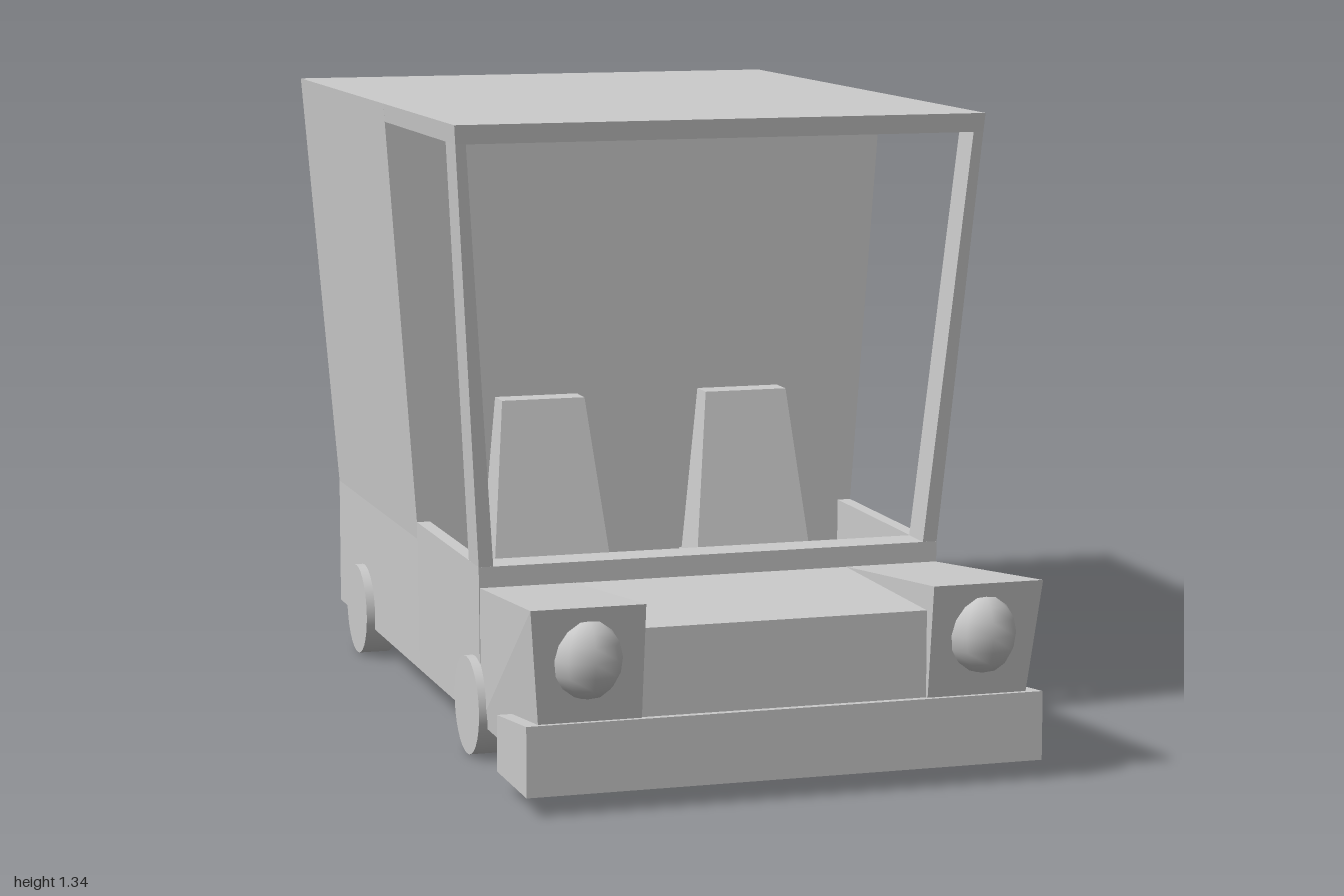
import * as THREE from 'three';

export function createModel() {
  const model = new THREE.Group();
  const flat = new THREE.MeshStandardMaterial({ color: 0xcccccc, flatShading: true });
  const smooth = new THREE.MeshStandardMaterial({ color: 0xcccccc });

  function add(name, geometry, material, x = 0, y = 0, z = 0) {
    const mesh = new THREE.Mesh(geometry, material);
    mesh.name = name;
    mesh.position.set(x, y, z);
    model.add(mesh);
    return mesh;
  }

  // Six-sided block; corner(i, j, k) places each corner (0/1 = low/high x, y, z).
  // side = -1 mirrors it across x = 0.
  function hexa(name, corner, side = 1) {
    const geometry = new THREE.BoxGeometry(1, 1, 1);
    const p = geometry.attributes.position;
    for (let n = 0; n < p.count; n++) {
      const i = p.getX(n) > 0 ? 1 : 0;
      const [x, y, z] = corner(side > 0 ? i : 1 - i, p.getY(n) > 0 ? 1 : 0, p.getZ(n) > 0 ? 1 : 0);
      p.setXYZ(n, side * x, y, z);
    }
    geometry.computeVertexNormals();
    return add(name, geometry, flat);
  }

  // Block lofted between two rectangles [x0, x1, z0, z1]
  function loft(name, y0, bottom, y1, top, side = 1) {
    return hexa(name, (i, j, k) => {
      const r = j ? top : bottom;
      return [r[i], j ? y1 : y0, r[2 + k]];
    }, side);
  }

  // Lower body and floor
  loft('rearBody', 0.075, [-0.51, 0.51, -0.94, -0.12], 0.37, [-0.51, 0.51, -0.94, -0.12]);
  loft('cabinFloor', 0.075, [-0.48, 0.48, -0.12, 0.35], 0.22, [-0.48, 0.48, -0.12, 0.35]);
  loft('cowl', 0.075, [-0.51, 0.51, 0.35, 0.43], 0.41, [-0.513, 0.513, 0.35, 0.434]);

  // Flaring cargo box and roof
  loft('cargoBox', 0.37, [-0.51, 0.51, -0.94, -0.12], 1.345, [-0.58, 0.58, -1, -0.12]);
  loft('roof', 1.305, [-0.577, 0.577, -0.12, 0.516], 1.345, [-0.58, 0.58, -0.12, 0.52]);

  // Hood between the fenders
  loft('hood', 0.075, [-0.305, 0.305, 0.43, 0.92], 0.365, [-0.305, 0.305, 0.43, 0.92]);

  // Bumper with a top falling toward the rear
  hexa('bumper', (i, j, k) => [i ? 0.55 : -0.55, j ? (k ? 0.187 : 0.16) : 0.042, k ? 0.95 : 0.72]);

  for (const s of [1, -1]) {
    // Door, windscreen pillar
    loft('door', 0.075, [0.48, 0.51, -0.12, 0.35], 0.41, [0.483, 0.513, -0.12, 0.35], s);
    loft('pillar', 0.37, [0.478, 0.51, 0.346, 0.43], 1.305, [0.555, 0.577, 0.434, 0.516], s);

    // Fender, widening and rising toward the front
    hexa('fender', (i, j, k) => [
      i ? (k ? (j ? 0.543 : 0.51) : 0.51) : 0.305,
      j ? (k ? 0.422 : 0.365) : 0.075,
      k ? (j ? 0.96 : 0.915) : 0.43,
    ], s);

    // Headlight
    const lamp = add('headlight', new THREE.SphereGeometry(1, 8, 8), smooth, s * 0.42, 0.315, 0.94);
    lamp.scale.set(0.074, 0.083, 0.06);

    // Seat
    loft('seatCushion', 0.2, [0.1, 0.37, -0.12, 0.34], 0.32, [0.1, 0.37, -0.12, 0.34], s);
    loft('seatBack', 0.31, [0.1, 0.37, -0.105, 0.015], 0.685, [0.142, 0.332, -0.117, -0.055], s);

    // Wheels
    for (const z of [0.39, -0.67]) {
      const wheel = add('wheel', new THREE.CylinderGeometry(0.105, 0.105, 0.07, 32), smooth, s * 0.495, 0.107, z);
      wheel.rotation.z = Math.PI / 2;
    }
  }

  return model;
}
